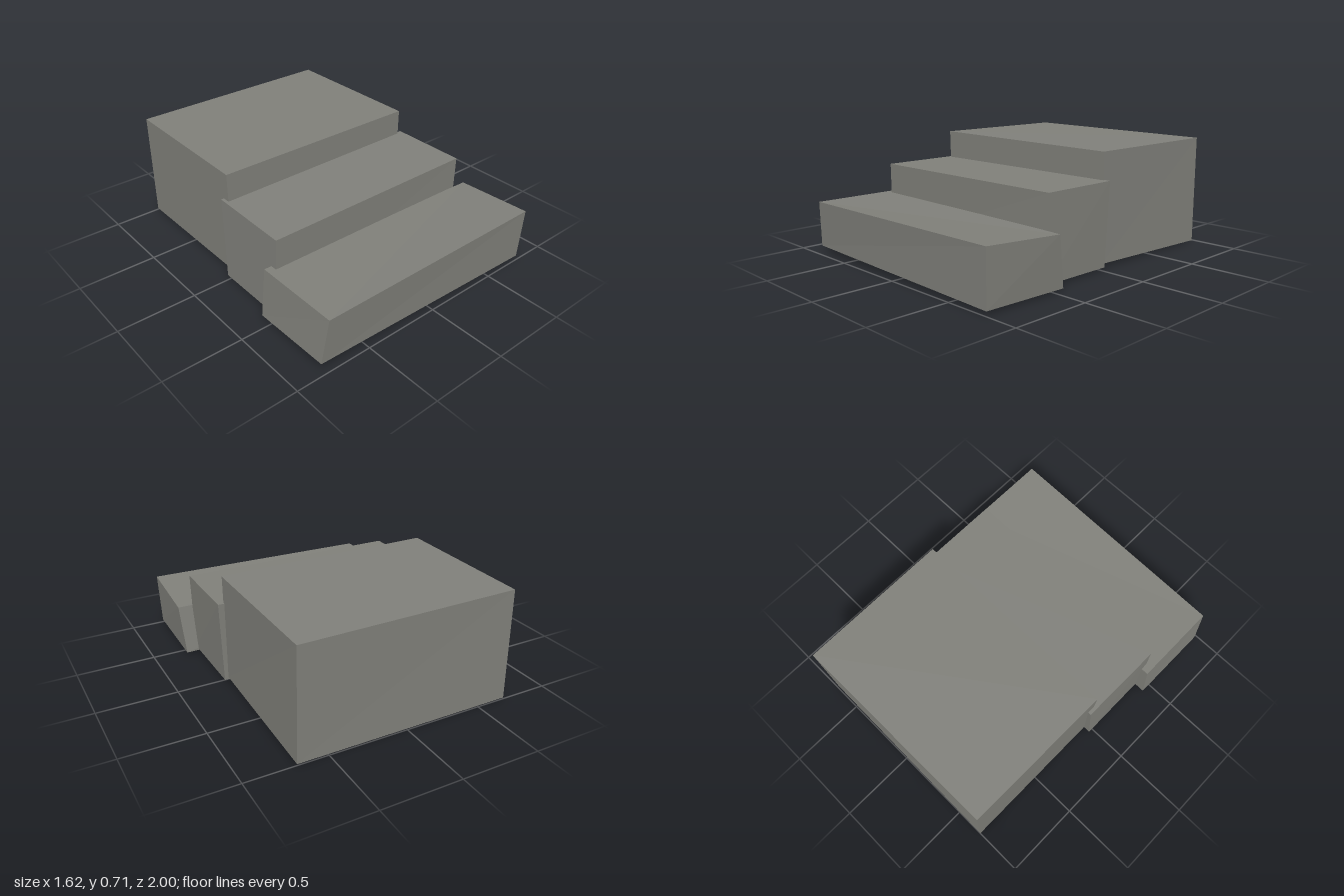
import * as THREE from 'three';

const stone = new THREE.MeshStandardMaterial({ color: 0x7f7f79, flatShading: true });
stone.name = 'grey stone';

// Rough-hewn block: a box whose corners are moved to eight given points.
// Corner order: bottom then top, each back-left-of-view, back-right, front-left, front-right (x-, x+).
function hewnBlock(name, corners) {
  const geometry = new THREE.BoxGeometry(1, 1, 1).toNonIndexed();
  const p = geometry.attributes.position;
  for (let i = 0; i < p.count; i++) {
    const k = (p.getY(i) > 0 ? 4 : 0) + (p.getZ(i) > 0 ? 2 : 0) + (p.getX(i) > 0 ? 1 : 0);
    p.setXYZ(i, ...corners[k]);
  }
  geometry.computeVertexNormals();
  const mesh = new THREE.Mesh(geometry, stone);
  mesh.name = name;
  return mesh;
}

export function createModel() {
  const model = new THREE.Group();
  model.name = 'stoneSteps';

  // Low, wide step at the front
  model.add(hewnBlock('lowerStep', [
    [-0.81, 0.025, 0.43], [0.79, 0.013, 0.435], [-0.813, 0.045, 0.965], [0.783, 0.022, 0.99],
    [-0.78, 0.338, 0.43], [0.81, 0.327, 0.485], [-0.78, 0.34, 0.99], [0.795, 0.357, 1],
  ]));

  // Middle step
  model.add(hewnBlock('middleStep', [
    [-0.74, 0.008, -0.03], [0.703, 0.015, -0.025], [-0.74, 0.008, 0.465], [0.71, 0.022, 0.48],
    [-0.722, 0.532, -0.07], [0.722, 0.537, -0.035], [-0.727, 0.532, 0.478], [0.72, 0.537, 0.48],
  ]));

  // Tall, deep block at the back
  model.add(hewnBlock('upperStep', [
    [-0.69, 0.008, -1], [0.685, 0, -0.99], [-0.695, 0.02, -0.025], [0.68, 0.03, -0.025],
    [-0.695, 0.708, -0.99], [0.682, 0.703, -1], [-0.705, 0.713, -0.02], [0.683, 0.705, -0.02],
  ]));

  return model;
}
